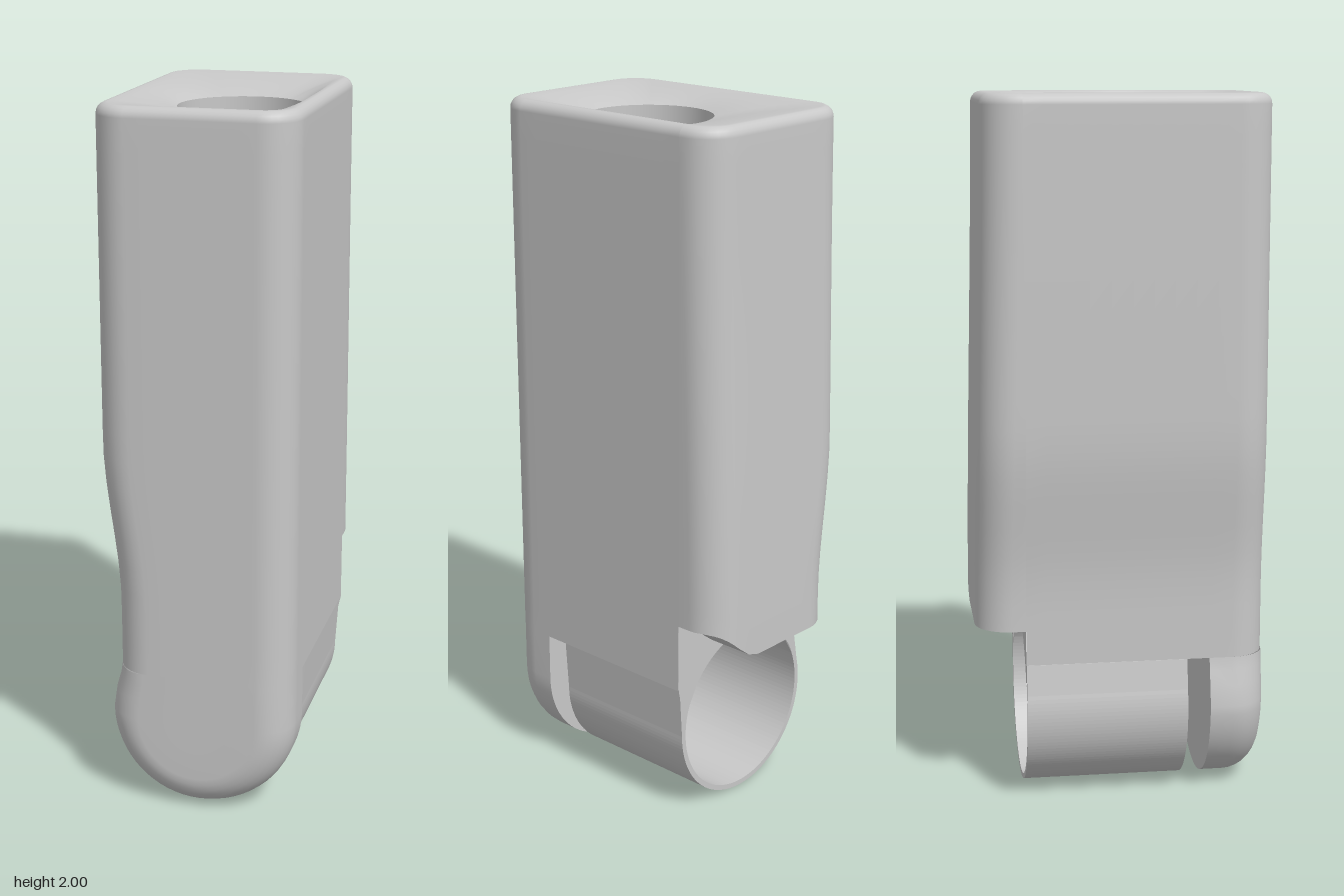
import * as THREE from 'three';

const FRONT = 0.42, R = 0.1, STEP = -0.27;          // front face, corner radius, rear step
const SLOT0 = 0.19, SLOT1 = 0.255, SLOT_TOP = 0.41; // cross slot
const TY = 0.26, TR = 0.245;                        // horizontal tube bore
const BX = 0.045, BZ = 0.055, BR = 0.18;            // vertical bore
const RIM = 1.96;

const smooth = THREE.MathUtils.smoothstep;
const lerp = THREE.MathUtils.lerp;
const arch = x => TY + Math.sqrt(Math.max(0, TR * TR - x * x));
const underside = x => 0.51 + 0.1 * smooth(x, 0.1, 0.27);

// Grid surface from rows of points
function surface(rows, closed = false) {
  const n = rows[0].length, index = [];
  for (let i = 0; i < rows.length - 1; i++) {
    for (let j = 0; j < (closed ? n : n - 1); j++) {
      const k = (j + 1) % n, a = i * n + j, b = i * n + k;
      index.push(a, b, b + n, a, b + n, a + n);
    }
  }
  const g = new THREE.BufferGeometry();
  g.setAttribute('position', new THREE.Float32BufferAttribute(rows.flat(2), 3));
  g.setIndex(index);
  g.computeVertexNormals();
  return g;
}

// Rounded rectangular plan of the body at height y; flag marks the rear overhang
function outline(y, inset = 0) {
  const xl = -0.235 - 0.045 * smooth(y, 0.6, 1.08) + inset;
  const xr = 0.275 - inset;
  const zb = -0.41 + 0.03 * smooth(y, 0.4, 2.2) + inset;
  const zf = FRONT - inset, r = R - inset, pts = [];
  const line = (x0, z0, x1, z1, n, rear) => {
    for (let i = 0; i <= n; i++) pts.push([lerp(x0, x1, i / n), lerp(z0, z1, i / n), rear]);
  };
  const corner = (cx, cz, a0, rear) => {
    for (let i = 1; i < 8; i++) {
      const a = a0 + (i / 8) * Math.PI / 2;
      pts.push([cx + r * Math.cos(a), cz - r * Math.sin(a), rear]);
    }
  };
  line(xr, zf - r, xr, STEP, 10, false);
  line(xr, STEP, xr, zb + r, 1, true);
  corner(xr - r, zb + r, 0, true);
  line(xr - r, zb, xl + r, zb, 8, true);
  corner(xl + r, zb + r, Math.PI / 2, true);
  line(xl, zb + r, xl, STEP, 1, true);
  line(xl, STEP, xl, zf - r, 10, false);
  corner(xl + r, zf - r, Math.PI, false);
  line(xl + r, zf, xr - r, zf, 8, false);
  corner(xr - r, zf - r, Math.PI * 1.5, false);
  return pts;
}

function onBore(x, z) {
  const a = Math.atan2(z - BZ, x - BX);
  return [BX + BR * Math.cos(a), BZ + BR * Math.sin(a)];
}

function bodyGeometry() {
  const rows = [], base = outline(0.5), top = outline(2, 0.03);
  // Walls, each column starting at its own lower edge
  for (let i = 0; i <= 20; i++) {
    rows.push(base.map(([x, , rear], j) => {
      const y = lerp(rear ? underside(x) : SLOT_TOP, 1.97, i / 20);
      const p = outline(y)[j];
      return [p[0], y, p[1]];
    }));
  }
  // Rounded upper edge
  for (let i = 1; i <= 5; i++) {
    const a = (i / 5) * Math.PI / 2;
    rows.push(outline(2, 0.03 * (1 - Math.cos(a))).map(p => [p[0], 1.97 + 0.03 * Math.sin(a), p[1]]));
  }
  // Shallow funnel to the bore
  for (let i = 1; i <= 6; i++) {
    const t = i / 6;
    rows.push(top.map(([x, z]) => {
      const [bx, bz] = onBore(x, z);
      return [lerp(x, bx, t), lerp(2, RIM, t * t * 0.4 + t * 0.6), lerp(z, bz, t)];
    }));
  }
  return surface(rows, true);
}

function undersideGeometry() {
  const rear = outline(0.55).filter(p => p[2]);
  return surface([
    rear.map(([x]) => [x, underside(x), STEP]),
    rear.map(([x, z]) => [x, underside(x), z]),
  ]);
}

function boreGeometry() {
  const ring = f => Array.from({ length: 64 }, (_, i) => {
    const a = (i / 64) * Math.PI * 2, x = BX + BR * Math.cos(a);
    return [x, f(x), BZ - BR * Math.sin(a)];
  });
  return surface([ring(() => RIM), ring(arch)], true);
}

// Arched tube roof with the bore opening
function roofGeometry() {
  const w = 0.228, n = 0.193, edge = [];
  const poly = [[w, SLOT0], [w, STEP], [-w, STEP], [-w, SLOT0], [-n, SLOT0], [-n, SLOT1], [n, SLOT1], [n, SLOT0]];
  poly.forEach((p, k) => {
    const q = poly[(k + 1) % poly.length];
    for (let i = 0; i < 12; i++) edge.push([lerp(p[0], q[0], i / 12), lerp(p[1], q[1], i / 12)]);
  });
  const rows = [];
  for (let i = 0; i <= 6; i++) {
    rows.push(edge.map(([x, z]) => {
      const [bx, bz] = onBore(x, z), px = lerp(bx, x, i / 6);
      return [px, arch(px), lerp(bz, z, i / 6)];
    }));
  }
  return surface(rows, true);
}

// Lower tube wall, a deep U cross-section
function tubeGeometry() {
  const s = new THREE.Shape(), a = Math.asin((0.35 - TY) / TR);
  s.moveTo(0.27, SLOT_TOP);
  s.lineTo(0.235, SLOT_TOP);
  s.lineTo(0.235, 0.35);
  s.absarc(0, TY, TR, a, Math.PI - a, true);
  s.lineTo(-0.23, 0.35);
  s.lineTo(-0.23, SLOT_TOP);
  s.lineTo(-0.237, SLOT_TOP);
  s.absarc(0, TY, 0.26, Math.PI - 0.25, 2 * Math.PI, false);
  const g = new THREE.ExtrudeGeometry(s, { depth: SLOT0 - STEP, bevelEnabled: false, curveSegments: 40 });
  return g.translate(0, 0, STEP);
}

// Rear wall above the tube mouth
function rearGeometry() {
  const s = new THREE.Shape(), a = Math.asin((0.35 - TY) / TR);
  s.moveTo(0.262, 0.35);
  s.lineTo(0.275, SLOT_TOP);
  for (let i = 0; i <= 12; i++) {
    const x = lerp(0.275, -0.235, i / 12);
    s.lineTo(x, underside(x));
  }
  s.lineTo(-0.235, 0.35);
  s.absarc(0, TY, TR, Math.PI - a, a, true);
  return new THREE.ShapeGeometry(s, 40).translate(0, 0, STEP - 0.001);
}

// Rounded front end below the body
function capSection(z, d) {
  const pts = [[0.275, 0.41], [0.275, 0.34]];
  for (let i = 0; i <= 32; i++) {
    const a = -(i / 32) * Math.PI;
    pts.push([0.27 * Math.cos(a) + (i < 16 ? 0.005 : 0.008) * Math.abs(Math.cos(a)), 0.27 + 0.27 * Math.sin(a)]);
  }
  pts.push([-0.253, 0.33], [-0.24, 0.375], [-0.235, 0.41]);
  const k = 1 - d / 0.27;
  return pts.map(([x, y]) => [x * k, y < 0.27 ? 0.27 - (0.27 - y) * k : y, z]);
}

function capGeometry() {
  const rows = [capSection(FRONT, 0.27), capSection(FRONT, 0.18)];
  for (let i = 0; i <= 8; i++) {
    const a = (i / 8) * Math.PI / 2;
    rows.push(capSection(FRONT - R + R * Math.cos(a), R * (1 - Math.sin(a))));
  }
  rows.push(capSection(SLOT1, 0));
  return surface(rows);
}

export function createModel() {
  const model = new THREE.Group();
  model.name = 'tubeHousing';
  const grey = new THREE.MeshStandardMaterial({ color: 0xc8c8c8, side: THREE.DoubleSide });
  grey.name = 'light grey';
  const add = (name, geometry) => {
    const mesh = new THREE.Mesh(geometry, grey);
    mesh.name = name;
    model.add(mesh);
    return mesh;
  };
  add('body', bodyGeometry());
  add('overhangUnderside', undersideGeometry());
  add('verticalBore', boreGeometry());
  add('tubeRoof', roofGeometry());
  add('lowerTube', tubeGeometry());
  add('rearWall', rearGeometry());
  add('frontCap', capGeometry());
  add('frontCapBack', surface([capSection(SLOT1, 0), capSection(SLOT1, 0.27)]));
  add('tubeEndWall', new THREE.CircleGeometry(TR, 48).rotateY(Math.PI).translate(0, TY, SLOT1 - 0.001));
  // Slot ceilings on both sides
  for (const [x0, x1] of [[0.19, 0.274], [-0.234, -0.19]]) {
    add('slotCeiling', new THREE.BoxGeometry(x1 - x0, 0.01, SLOT1 - SLOT0)
      .translate((x0 + x1) / 2, SLOT_TOP + 0.005, (SLOT0 + SLOT1) / 2));
  }
  return model;
}
